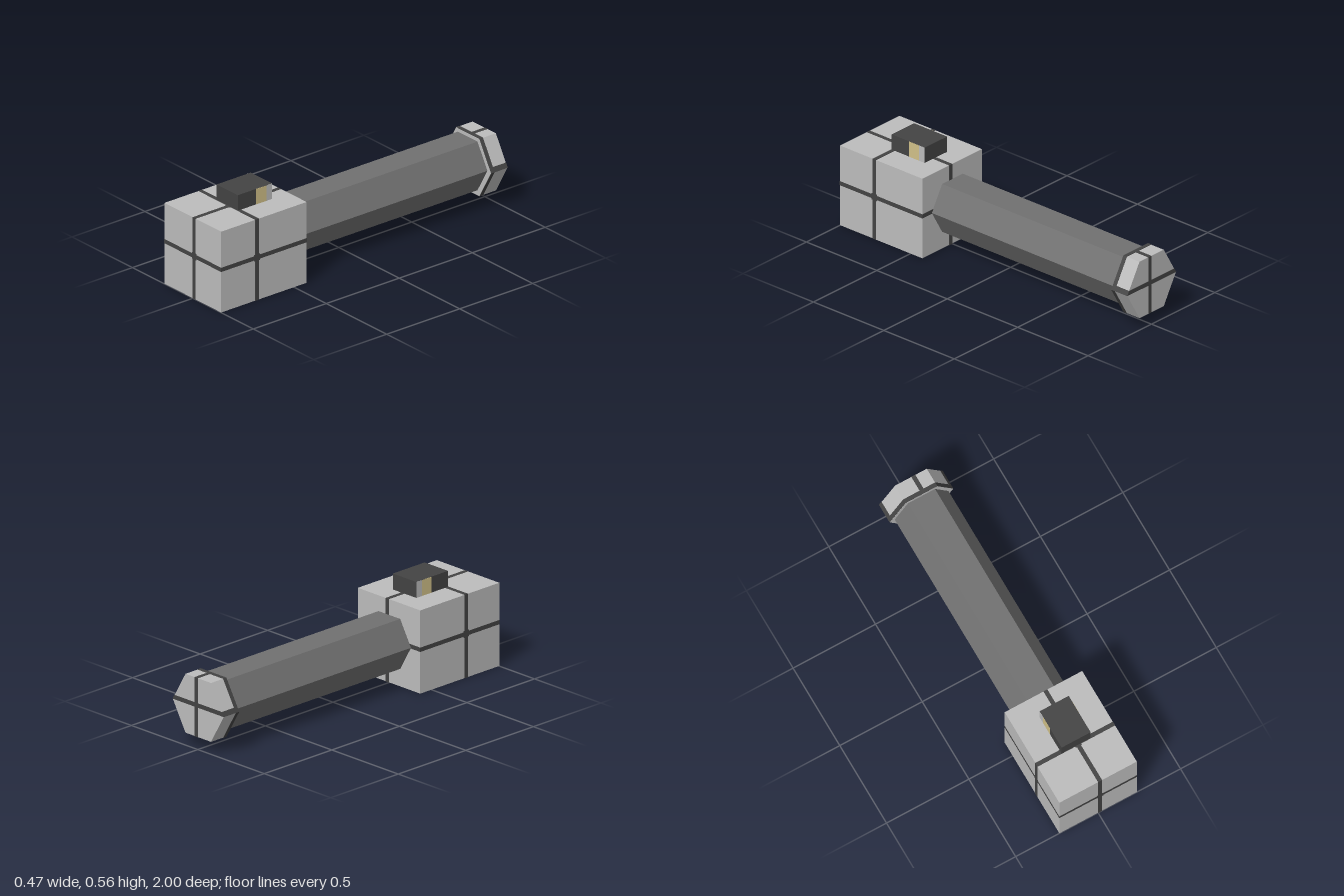
import * as THREE from 'three';

export function createModel() {
  const mat = (name, color) => {
    const m = new THREE.MeshStandardMaterial({ color, flatShading: true });
    m.name = name;
    return m;
  };
  const light = mat('light grey', 0xbcbcbc);
  const mid = mat('mid grey', 0x707070);
  const dark = mat('dark grey', 0x434343);
  const tan = mat('tan', 0xd0c088);

  const model = new THREE.Group();
  model.name = 'model';
  const group = (name) => {
    const g = new THREE.Group();
    g.name = name;
    model.add(g);
    return g;
  };
  const add = (parent, name, geometry, material) => {
    const mesh = new THREE.Mesh(geometry, material);
    mesh.name = name;
    parent.add(mesh);
    return mesh;
  };
  // Box given by its extents along each axis
  const block = (parent, name, material, [x0, x1], [y0, y1], [z0, z1]) =>
    add(parent, name, new THREE.BoxGeometry(x1 - x0, y1 - y0, z1 - z0), material)
      .position.set((x0 + x1) / 2, (y0 + y1) / 2, (z0 + z1) / 2);
  // Hexagonal prism along z with corners pointing to either side
  const hexPrism = (parent, name, material, radius, y, z0, z1) => {
    const g = new THREE.CylinderGeometry(radius, radius, z1 - z0, 6, 1, false, Math.PI / 6);
    g.rotateX(Math.PI / 2);
    add(parent, name, g, material).position.set(-0.0025, y, (z0 + z1) / 2);
  };

  const E = 0.001; // stripe relief
  const stripeX = [0, 0.024], stripeY = [0.236, 0.26], stripeZ = [0.743, 0.767];
  const wide = ([a, b]) => [a - 0.007, b + 0.007];

  // Head block with stripes running round it on all three axes
  const head = group('head');
  block(head, 'headBlock', light, [-0.235, 0.235], [0, 0.47], [0.415, 1]);
  const X = [-0.235 - E, 0.235 + E], Y = [-E, 0.47 + E], Z = [0.415 - E, 1 + E];
  block(head, 'lengthwiseStripe', dark, stripeX, Y, Z);
  block(head, 'levelStripe', dark, X, stripeY, Z);
  block(head, 'crosswiseStripe', dark, X, Y, stripeZ);
  // Square patches where the stripes cross
  block(head, 'frontCrossing', dark, wide(stripeX), wide(stripeY), Z);
  block(head, 'sideCrossing', dark, X, wide(stripeY), wide(stripeZ));
  block(head, 'topCrossing', dark, wide(stripeX), Y, wide(stripeZ));

  // Raised button with coloured side panels
  const button = group('button');
  block(button, 'buttonBody', dark, [-0.088, 0.088], [0.47, 0.56], [0.53, 0.765]);
  for (const s of [-1, 1]) {
    const side = s > 0 ? [0.087, 0.089] : [-0.089, -0.087];
    block(button, 'tanPanel', tan, side, [0.47, 0.5595], [0.57, 0.64]);
    block(button, 'lightPanel', light, side, [0.47, 0.5595], [0.5305, 0.57]);
  }

  // Hexagonal handle
  hexPrism(model, 'handle', mid, 0.163, 0.24, -0.89, 0.42);

  // Hexagonal end cap with its rim and crossing stripes
  const cap = group('endCap');
  const R = 0.192, cy = 0.235, H = R * Math.sqrt(3) / 2;
  hexPrism(cap, 'capBlock', light, R, cy, -1 + E, -0.885);
  hexPrism(cap, 'capRim', dark, R + 0.0015, cy, -0.91, -0.886);
  block(cap, 'capUprightStripe', dark, stripeX, [cy - H - E, cy + H + E], [-1, -0.886]);
  const w0 = R + 0.0015, w1 = w0 - 0.025 / Math.sqrt(3);
  const band = new THREE.Shape([
    new THREE.Vector2(-w0, 0), new THREE.Vector2(w0, 0),
    new THREE.Vector2(w1, 0.025), new THREE.Vector2(-w1, 0.025),
  ]);
  add(cap, 'capLevelStripe', new THREE.ExtrudeGeometry(band, { depth: 0.114, bevelEnabled: false }), dark)
    .position.set(-0.0025, cy, -1);

  return model;
}
